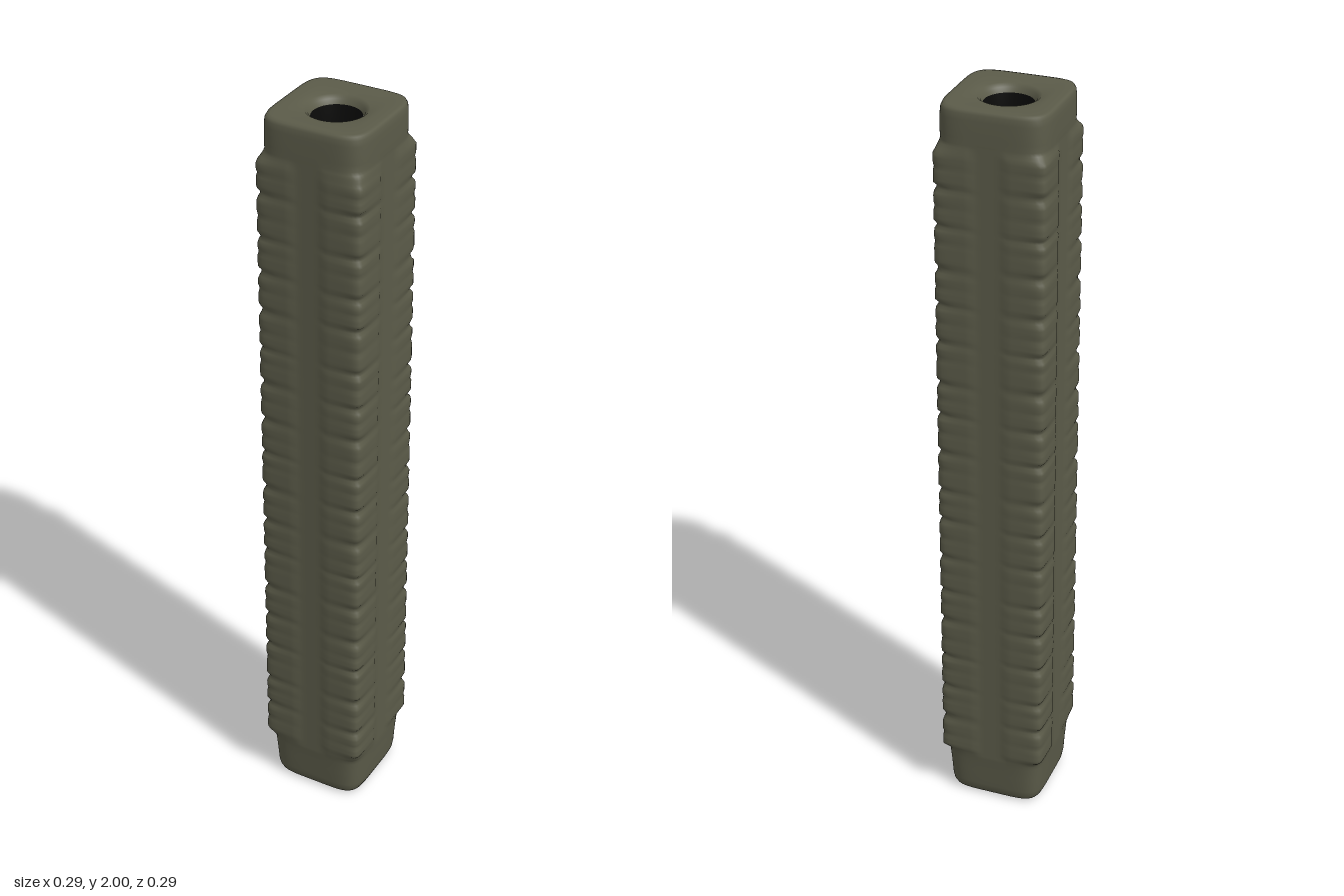
import * as THREE from 'three';

const SIDE = 24;             // points along each of the four faces
const AROUND = SIDE * 4;
const TIERS = 17;
const TIER_LOW = 0.14, TIER_HIGH = 1.9;

const smooth = THREE.MathUtils.smoothstep;
const lerp = THREE.MathUtils.lerp;

// Unit direction around the square outline, with u running -1..1 on each face
function direction(i) {
  const face = Math.floor(i / SIDE);
  const u = ((i % SIDE) / SIDE) * 2 - 1;
  const angle = face * Math.PI / 2 + Math.atan(u);
  return { u, face, x: Math.sin(angle), z: Math.cos(angle) };
}

// Distance to a rounded square with half sizes hx, hz
function squircle(d, hx, hz, n) {
  return Math.pow(Math.pow(Math.abs(d.x) / hx, n) + Math.pow(Math.abs(d.z) / hz, n), -1 / n);
}

// Carved tiers: a deep notch between tiers and a faint line inside each one
function tierRadius(d, y) {
  const core = squircle(d, 0.138, 0.142, 5.5);
  const block = squircle(d, 0.1435, 0.1465, 18);
  const corner = d.face + (d.u > 0 ? 1 : 0);
  const wobble = 0.006 * Math.sin(y * 23 + (corner % 4) * 1.9) + 0.004 * Math.sin(y * 41);
  const t = (y + wobble - TIER_LOW) / (TIER_HIGH - TIER_LOW) * TIERS;
  const f = t - Math.floor(t);
  const notch = 1 - smooth(Math.min(f, 1 - f), 0.03, 0.15);
  const line = 1 - smooth(Math.abs(f - 0.55), 0, 0.12);
  const ends = smooth(y, TIER_LOW - 0.012, TIER_LOW + 0.008)
    * (1 - smooth(y, TIER_HIGH - 0.008, TIER_HIGH + 0.012));
  const raised = smooth(Math.abs(d.u), 0.2, 0.34);
  return lerp(core, block, ends * raised * (1 - 0.42 * notch - 0.15 * line));
}

// Rings from the bottom centre, up the carved sides and in to the mouth
function bodyRings() {
  const collar = (s, y) => ({ y, r: d => squircle(d, 0.14 * s, 0.143 * s, 5.5) });
  const round = (radius, y) => ({ y, r: () => radius });
  const rings = [
    round(0.0005, 0.012), round(0.068, 0.012), round(0.08, 0.002), round(0.09, 0),
    collar(0.8, 0.001), collar(0.88, 0.006), collar(0.92, 0.018), collar(0.94, 0.035),
    collar(0.96, 0.08), collar(0.98, 0.115),
  ];
  const steps = TIERS * 13;
  for (let j = 0; j <= steps; j++) {
    const y = lerp(TIER_LOW - 0.013, TIER_HIGH + 0.013, j / steps);
    rings.push({ y, r: d => tierRadius(d, y) });
  }
  rings.push(
    collar(0.995, 1.93), collar(0.99, 1.975), collar(0.98, 1.99), collar(0.955, 1.998),
    collar(0.9, 2), collar(0.7, 1.999), round(0.078, 1.996), round(0.068, 1.988), round(0.062, 1.975),
  );
  return rings;
}

function bodyGeometry() {
  const rings = bodyRings();
  const positions = [], index = [];
  rings.forEach((ring, j) => {
    for (let i = 0; i < AROUND; i++) {
      const d = direction(i);
      const r = ring.r(d);
      positions.push(d.x * r, ring.y, d.z * r);
      if (j + 1 < rings.length) {
        const a = j * AROUND + i, b = j * AROUND + (i + 1) % AROUND;
        index.push(a, b, a + AROUND, b, b + AROUND, a + AROUND);
      }
    }
  });
  const geometry = new THREE.BufferGeometry();
  geometry.setAttribute('position', new THREE.Float32BufferAttribute(positions, 3));
  geometry.setIndex(index);
  geometry.computeVertexNormals();
  return geometry;
}

export function createModel() {
  const stone = new THREE.MeshStandardMaterial({ color: 0x5b5b49 });
  stone.name = 'olive stone';
  const dark = new THREE.MeshStandardMaterial({ color: 0x0b0b0a, side: THREE.DoubleSide });
  dark.name = 'dark bore';

  const group = new THREE.Group();
  group.name = 'carvedSquareTube';

  const body = new THREE.Mesh(bodyGeometry(), stone);
  body.name = 'carvedBody';

  // Round bore with a closed floor
  const profile = [[0.062, 1.976], [0.058, 1.93], [0.055, 1.66], [0.04, 1.62], [0, 1.61]]
    .map(([r, y]) => new THREE.Vector2(r, y));
  const bore = new THREE.Mesh(new THREE.LatheGeometry(profile, 40), dark);
  bore.name = 'bore';

  group.add(body, bore);
  return group;
}
